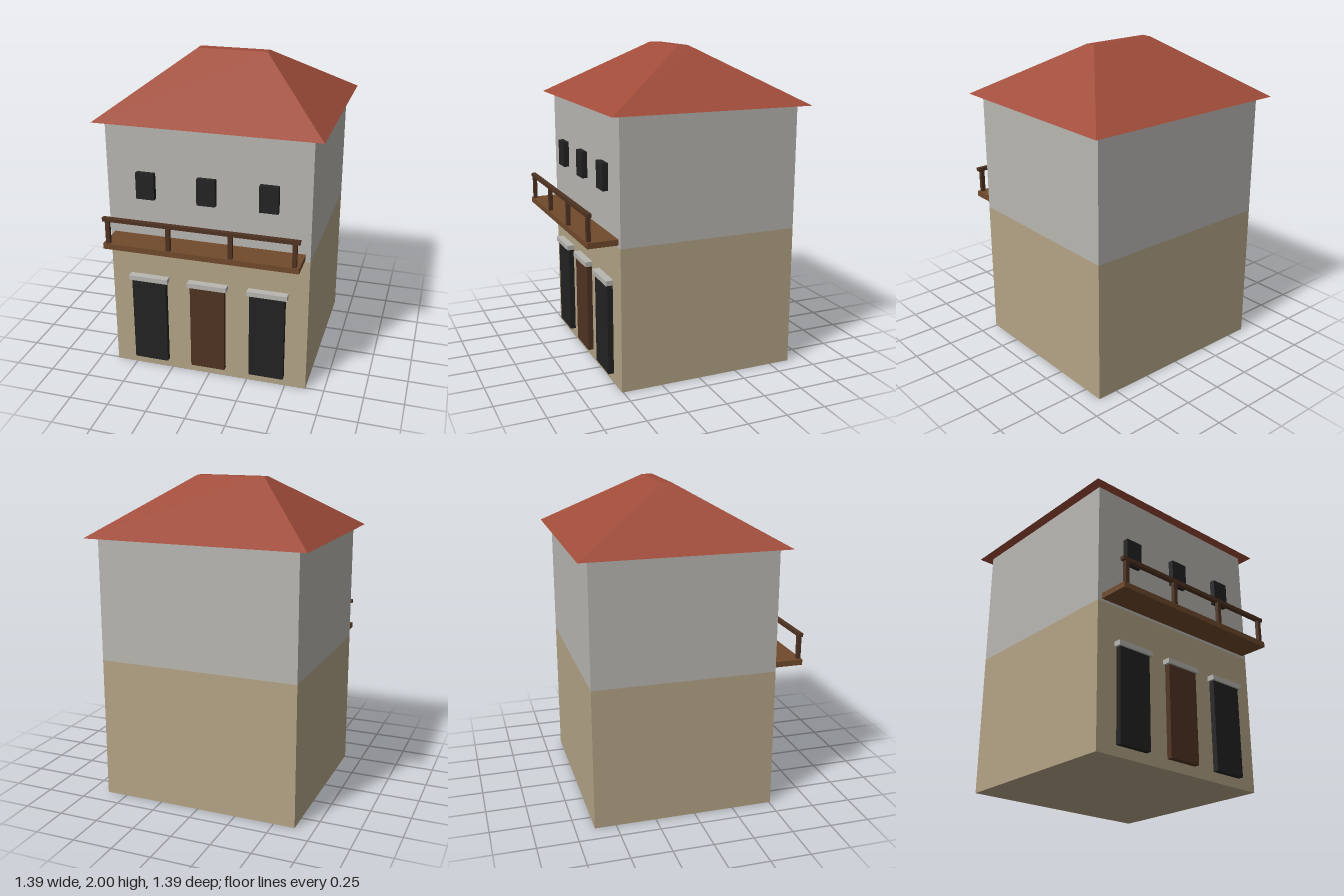
import * as THREE from 'three';

const material = (name, color) => {
  const m = new THREE.MeshStandardMaterial({ color });
  m.name = name;
  return m;
};

export function createModel() {
  const house = new THREE.Group();
  house.name = 'house';

  const plaster = material('grey plaster', 0xb8b6b1);
  const sand = material('sand plaster', 0xb3a386);
  const tiles = material('roof tiles', 0xa04c3a);
  const planks = material('balcony planks', 0x704a2c);
  const darkWood = material('dark wood', 0x4f3322);
  const shutter = material('dark shutters', 0x222222);

  // Box given by its limits on each axis
  function box(name, mat, [x0, x1], [y0, y1], [z0, z1], parent = house) {
    const mesh = new THREE.Mesh(new THREE.BoxGeometry(x1 - x0, y1 - y0, z1 - z0), mat);
    mesh.position.set((x0 + x1) / 2, (y0 + y1) / 2, (z0 + z1) / 2);
    mesh.name = name;
    parent.add(mesh);
  }
  const around = (c, w) => [c - w / 2, c + w / 2];

  // Two storeys
  const wallFront = 0.508, wallBack = -0.633;
  box('lowerStorey', sand, [-0.633, 0.633], [0, 0.89], [wallBack, wallFront]);
  box('upperStorey', plaster, [-0.633, 0.633], [0.89, 1.655], [wallBack, wallFront]);

  // Hipped roof: a box whose top corners are drawn in to a narrow ridge
  let roofGeometry = new THREE.BoxGeometry(2, 1, 2).toNonIndexed();
  const p = roofGeometry.attributes.position;
  for (let i = 0; i < p.count; i++) {
    const top = p.getY(i) > 0;
    p.setXYZ(i,
      p.getX(i) * (top ? 0.223 : 0.695),
      top ? 2 : 1.655,
      -0.064 + p.getZ(i) * (top ? 0.033 : 0.633));
  }
  roofGeometry.computeVertexNormals();
  const roof = new THREE.Mesh(roofGeometry, tiles);
  roof.name = 'roof';
  house.add(roof);

  // Door, shutters, lintels and upper windows in three bays
  for (const [i, side] of ['right', 'middle', 'left'].entries()) {
    const x = (i - 1) * 0.382;
    box(side + 'Doorway', i === 1 ? darkWood : shutter, around(x, 0.222), [0.063, 0.635], [wallFront, 0.543]);
    box(side + 'Lintel', plaster, around(x, 0.252), [0.633, 0.664], [wallFront, 0.556]);
    box(side + 'Window', shutter, around(x, 0.115), [1.19, 1.356], [wallFront, 0.543]);
  }

  // Balcony with posts and handrail
  const balcony = new THREE.Group();
  balcony.name = 'balcony';
  house.add(balcony);
  box('balconyFloor', planks, [-0.603, 0.603], [0.905, 0.94], [wallFront, 0.697], balcony);
  for (let i = 0; i < 4; i++) {
    box('railPost', darkWood, around(-0.573 + i * 0.382, 0.026), [0.94, 1.086], [0.668, 0.692], balcony);
  }
  box('handrail', darkWood, [-0.603, 0.603], [1.085, 1.108], [0.666, 0.694], balcony);

  return house;
}
